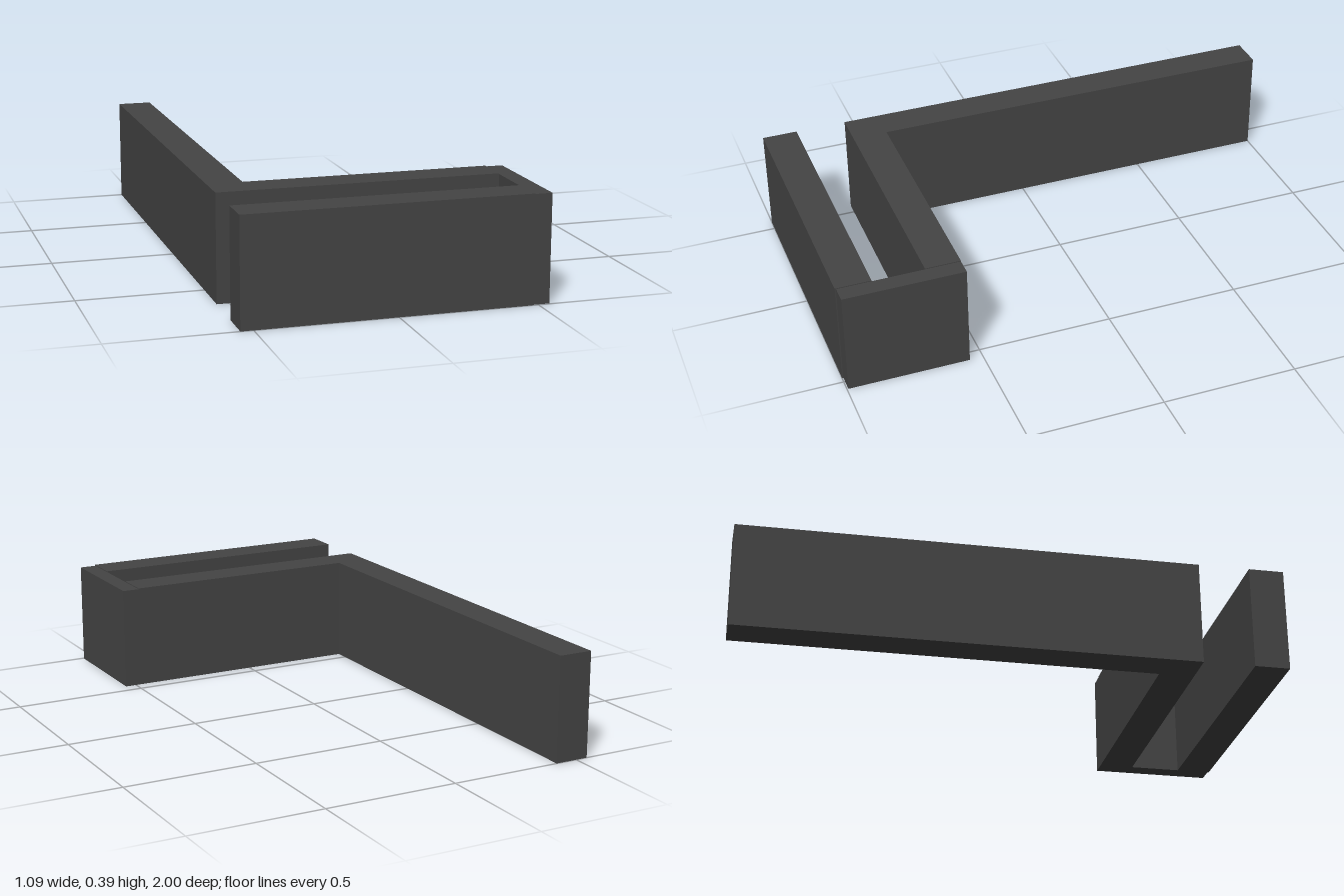
import * as THREE from 'three';

const HEIGHT = 0.39;
const material = new THREE.MeshStandardMaterial({ color: 0x444444 });

// Straight wall segment standing on the ground, given by its plan rectangle
function wall(name, x0, x1, z0, z1, height = HEIGHT) {
  const mesh = new THREE.Mesh(new THREE.BoxGeometry(x1 - x0, height, z1 - z0), material);
  mesh.name = name;
  mesh.position.set((x0 + x1) / 2, height / 2, (z0 + z1) / 2);
  return mesh;
}

export function createModel() {
  const group = new THREE.Group();
  group.name = 'cornerWall';
  group.add(
    // Long arm running to the back, in three butted segments
    wall('armTip', -0.545, -0.417, -1, -0.87),
    wall('armBack', -0.545, -0.417, -0.87, 0.16),
    wall('armFront', -0.545, -0.417, 0.16, 0.68),
    // U-shaped hook across the front, open on the -x side
    wall('innerBar', -0.417, 0.478, 0.55, 0.68),
    wall('endCap', 0.478, 0.542, 0.55, 0.995, HEIGHT - 0.003),
    wall('frontBar', -0.545, 0.478, 0.87, 1)
  );
  return group;
}
